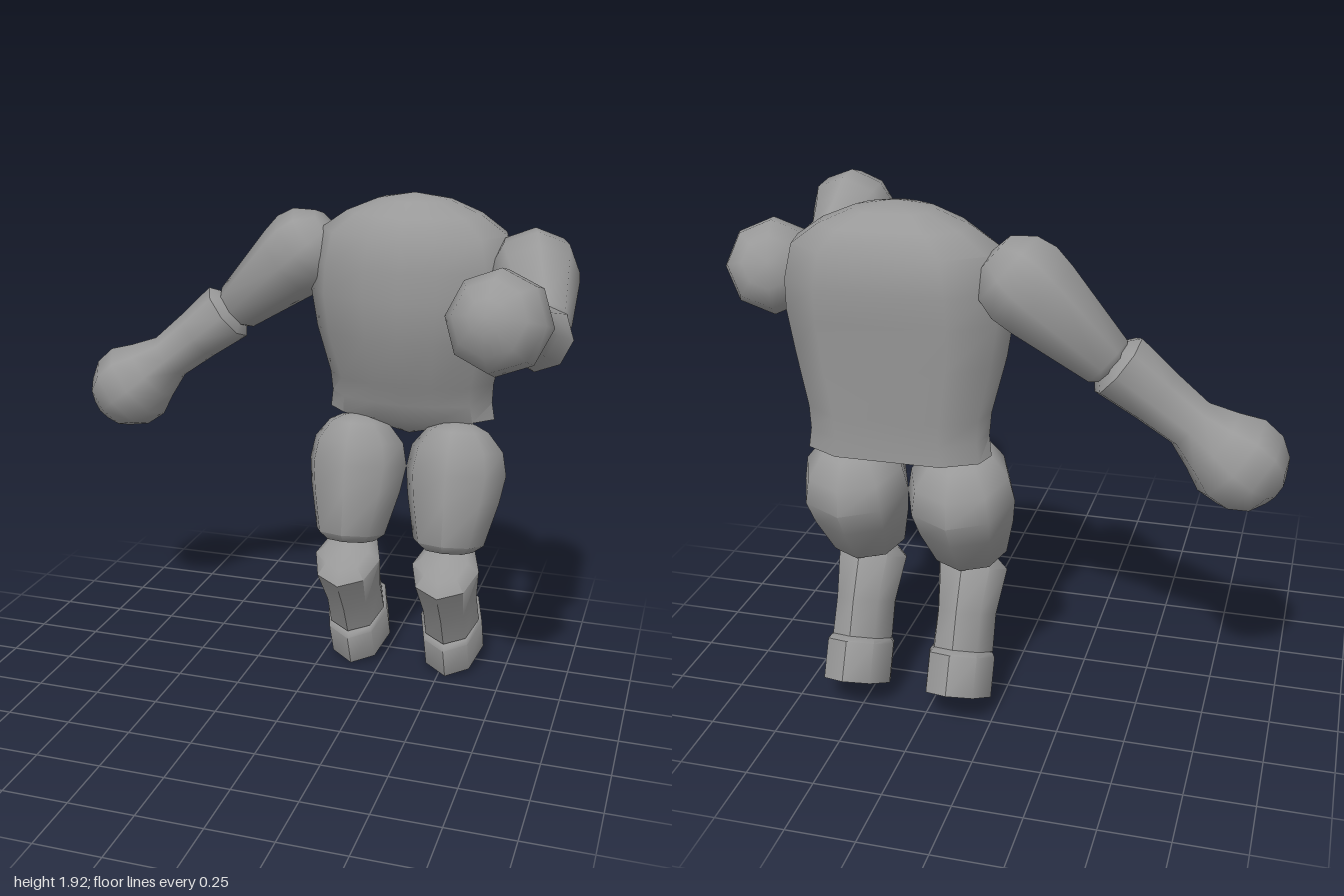
import * as THREE from 'three';
import { toCreasedNormals } from 'three/addons/utils/BufferGeometryUtils.js';

const V = (x, y, z) => new THREE.Vector3(x, y, z);

// Skin a stack of equal-sized rings (counter-clockwise about the stacking direction), closed by end points.
function loft(rings, startPole, endPole) {
  const n = rings[0].length, index = [];
  const points = [...rings.flat(), startPole, endPole];
  const start = points.length - 2, end = points.length - 1, top = (rings.length - 1) * n;
  for (let j = 0; j < n; j++) {
    const k = (j + 1) % n;
    for (let i = 0; i < top; i += n) {
      index.push(i + j, i + k, i + n + k, i + j, i + n + k, i + n + j);
    }
    index.push(k, j, start, top + j, top + k, end);
  }
  const geometry = new THREE.BufferGeometry().setFromPoints(points);
  geometry.setIndex(index);
  return toCreasedNormals(geometry, 0.95);
}

// Eight-sided limb: rows are [centre, half width along side, half depth].
function limb(rows, axis, side) {
  const d = axis.clone().normalize();
  const u = side.clone().addScaledVector(d, -side.dot(d)).normalize();
  const v = d.clone().cross(u);
  const rings = rows.map(([c, ru, rv]) => Array.from({ length: 8 }, (_, j) => {
    const a = j * Math.PI / 4;
    return c.clone().addScaledVector(u, ru * Math.cos(a)).addScaledVector(v, rv * Math.sin(a));
  }));
  const first = rows[0], last = rows[rows.length - 1];
  return loft(rings,
    first[0].clone().addScaledVector(d, -0.012),
    last[0].clone().addScaledVector(d, 0.012));
}

// Limb along a straight line: profile rows are [fraction, radius].
function straightLimb(from, to, profile) {
  const axis = to.clone().sub(from);
  const rows = profile.map(([t, r]) => [from.clone().lerp(to, t), r, r]);
  return limb(rows, axis, V(0, 1, 0));
}

export function createModel() {
  const model = new THREE.Group();
  model.name = 'headlessFigure';
  const grey = new THREE.MeshStandardMaterial({ color: 0x999999 });
  grey.name = 'grey';
  const add = (name, geometry) => {
    const mesh = new THREE.Mesh(geometry, grey);
    mesh.name = name;
    model.add(mesh);
  };

  // Torso: half section from front centre to back, as [x, z] with z running 0 (back) to 1 (front)
  const half = [[0.35, 0.94], [0.78, 0.78], [1, 0.5], [0.93, 0.22], [0.57, 0]];
  const section = [[0, 1], ...half, ...half.slice().reverse().map(([x, z]) => [-x, z])];
  const torsoRows = [ // y, half width, back z, front z
    [1.06, 0.33, -0.59, -0.31],
    [1.13, 0.32, -0.59, -0.285],
    [1.21, 0.325, -0.595, -0.25],
    [1.4, 0.37, -0.6, -0.17],
    [1.55, 0.395, -0.605, -0.158],
    [1.66, 0.39, -0.615, -0.16],
    [1.78, 0.36, -0.6, -0.18],
    [1.85, 0.26, -0.565, -0.235],
    [1.9, 0.14, -0.51, -0.3],
  ];
  const torsoX = 0.33;
  add('torso', loft(
    torsoRows.map(([y, w, back, front]) =>
      section.map(([x, z]) => V(torsoX + x * w, y, back + (front - back) * z))),
    V(torsoX, 0.985, -0.42), V(torsoX, 1.925, -0.41)));

  // Legs: rows are [y, z, half width, half depth]
  const thigh = [
    [1.05, -0.385, 0.07, 0.08],
    [1.025, -0.385, 0.12, 0.135],
    [0.95, -0.385, 0.18, 0.185],
    [0.86, -0.375, 0.198, 0.205],
    [0.76, -0.34, 0.182, 0.185],
    [0.6, -0.275, 0.14, 0.14],
    [0.57, -0.268, 0.1, 0.1],
  ];
  const shin = [
    [0.54, -0.225, 0.09, 0.12],
    [0.505, -0.24, 0.132, 0.165],
    [0.36, -0.33, 0.112, 0.155],
    [0.235, -0.39, 0.115, 0.15],
  ];
  const foot = [
    [0.235, -0.395, 0.115, 0.15],
    [0.22, -0.405, 0.126, 0.175],
    [0.085, -0.465, 0.126, 0.177],
  ];
  for (const [label, x] of [['right', 0.135], ['left', 0.53]]) {
    const leg = (rows, axis) =>
      limb(rows.map(([y, z, w, d]) => [V(x, y, z), w, d]), axis, V(1, 0, 0));
    add(label + 'Thigh', leg(thigh, V(0, -0.47, 0.1)));
    add(label + 'Shin', leg(shin, V(0, -0.9, -0.44)));
    add(label + 'Foot', leg(foot, V(0, -0.88, -0.47)));
  }

  // Arms: the forearm runs from the elbow to the middle of a round fist
  const upperArm = [[0, 0.09], [0.12, 0.15], [0.25, 0.168], [0.4, 0.158], [0.95, 0.1], [1, 0.075]];
  const forearm = [[0, 0.08], [0.06, 0.122], [0.35, 0.105], [0.62, 0.095]];
  for (const degrees of [130, 100, 72, 45, 20]) {
    const a = degrees * Math.PI / 180;
    forearm.push([1 + 0.31 * Math.cos(a), 0.173 * Math.sin(a)]);
  }
  const arms = [
    ['right', V(-0.01, 1.77, -0.445), V(-0.41, 1.42, -0.435), V(-0.4, 1.44, -0.425), V(-0.83, 1.095, -0.365)],
    ['left', V(0.76, 1.7, -0.485), V(0.885, 1.525, -0.02), V(0.875, 1.49, -0.05), V(0.808, 1.645, 0.445)],
  ];
  for (const [label, shoulder, elbow, forearmStart, fist] of arms) {
    add(label + 'UpperArm', straightLimb(shoulder, elbow, upperArm));
    add(label + 'ForearmAndFist', straightLimb(forearmStart, fist, forearm));
  }
  return model;
}
